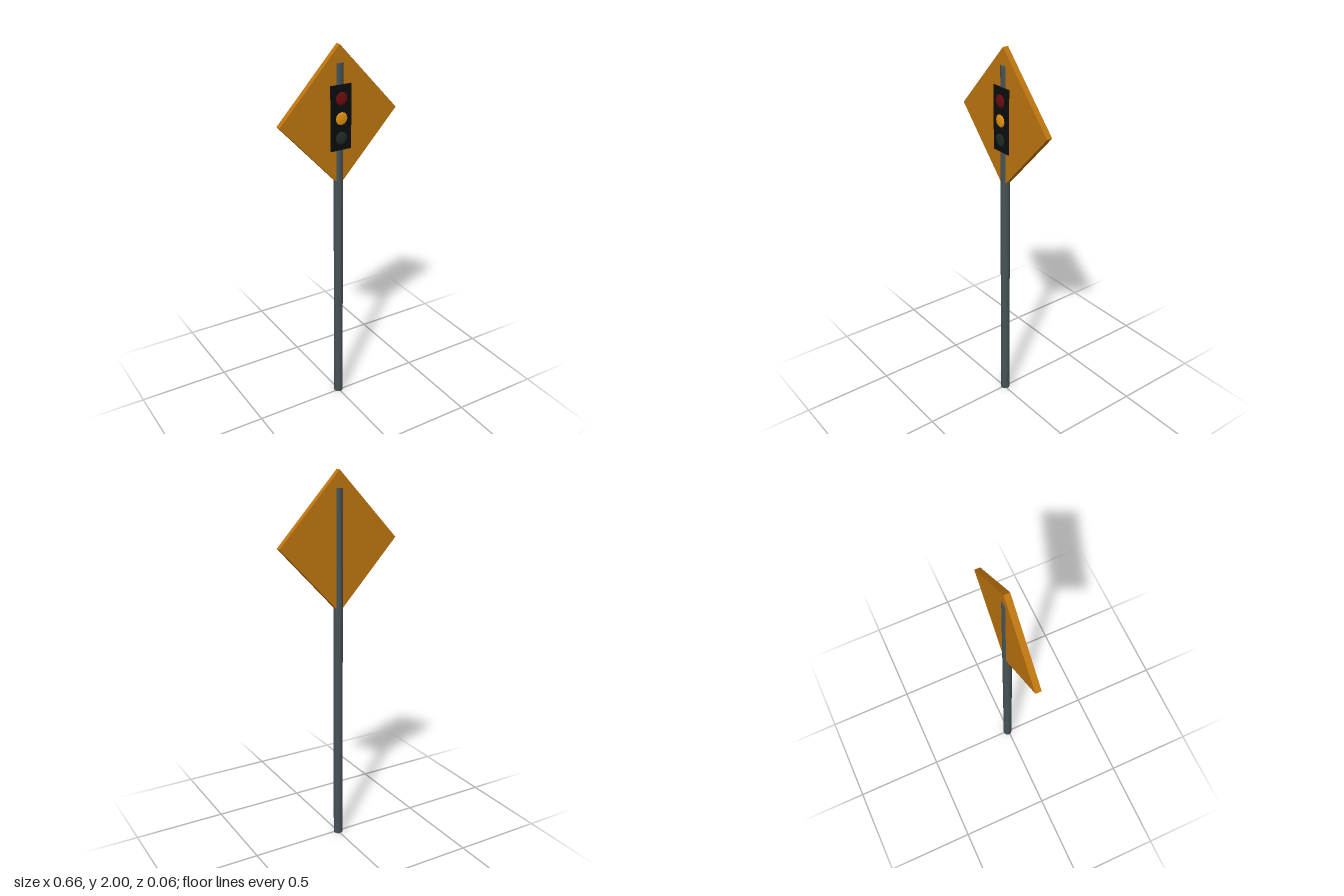
import * as THREE from 'three';

const mat = (name, color) => {
  const m = new THREE.MeshStandardMaterial({ color });
  m.name = name;
  return m;
};

export function createModel() {
  const group = new THREE.Group();
  const steel = mat('dark steel', 0x465356);
  const amber = mat('amber sign', 0xbe750f);
  const black = mat('black panel', 0x0c0d0e);
  const red = mat('red lens', 0x6e0d0f);
  const yellow = mat('yellow lens', 0xe6940f);
  const green = mat('green lens', 0x1f2c25);

  const add = (name, geometry, material, x, y, z) => {
    const mesh = new THREE.Mesh(geometry, material);
    mesh.name = name;
    mesh.position.set(x, y, z);
    group.add(mesh);
    return mesh;
  };

  // Round post
  add('post', new THREE.CylinderGeometry(0.0245, 0.0245, 1.912, 16), steel, 0, 0.956, -0.0065);

  // Diamond sign plate, threaded by the post
  const w = 0.332, h = 0.356;
  const diamond = new THREE.Shape([
    new THREE.Vector2(0, -h), new THREE.Vector2(w, 0),
    new THREE.Vector2(0, h), new THREE.Vector2(-w, 0),
  ]);
  const plate = new THREE.ExtrudeGeometry(diamond, { depth: 0.03, bevelEnabled: false });
  add('signPlate', plate, amber, 0, 2 - h, -0.022);

  // Signal backing panel
  add('signalPanel', new THREE.BoxGeometry(0.116, 0.33, 0.006), black, 0, 1.644, 0.018);

  // Three shallow domed lenses
  const lens = new THREE.SphereGeometry(0.033, 12, 8);
  lens.rotateX(Math.PI / 2);
  lens.scale(1, 1, 0.17);
  [['redLens', red, 1.742], ['yellowLens', yellow, 1.642], ['greenLens', green, 1.542]]
    .forEach(([name, material, y]) => add(name, lens, material, 0, y, 0.025));

  return group;
}
